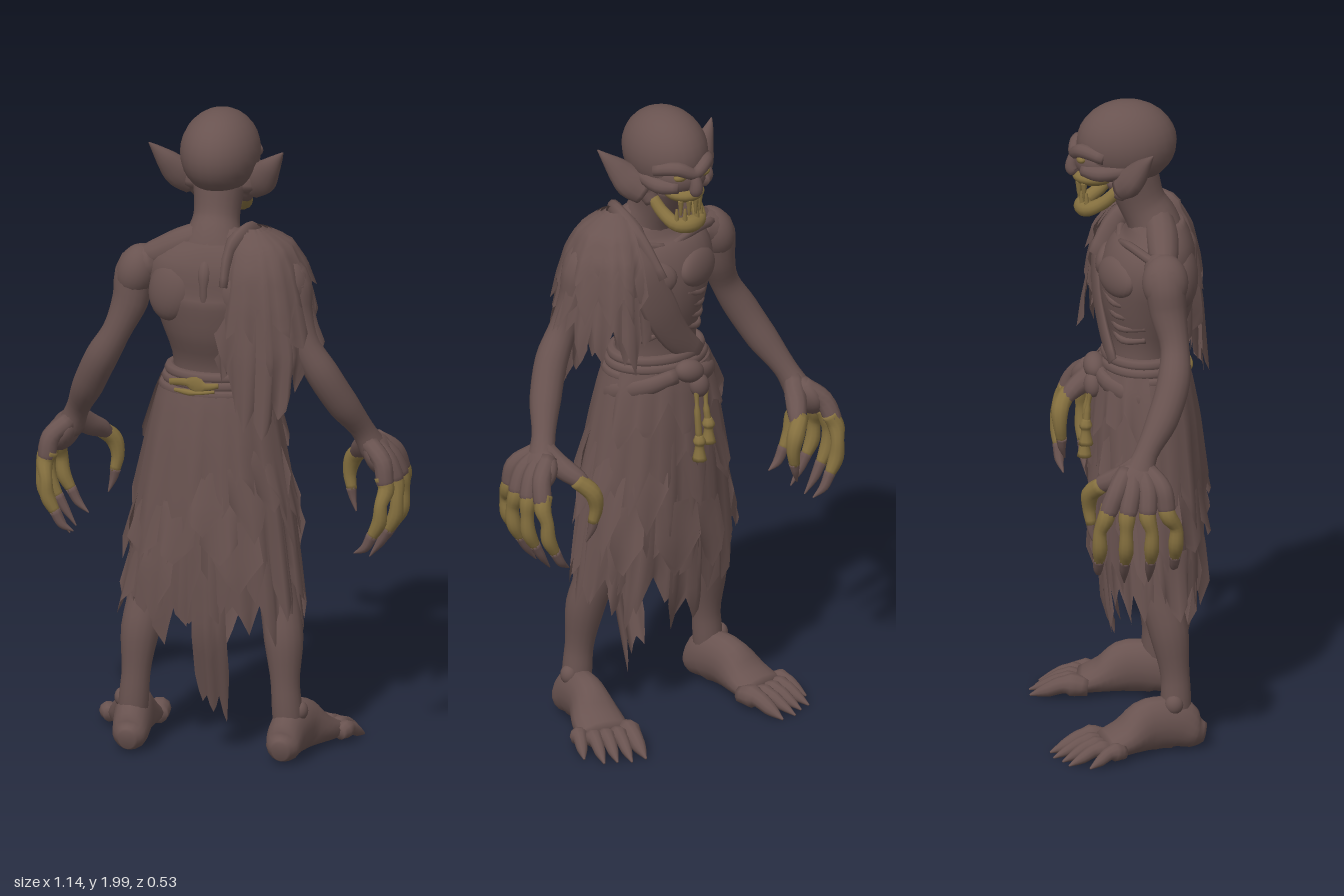
import * as THREE from 'three';

const V = (x, y, z) => new THREE.Vector3(x, y, z);
const Y = V(0, 1, 0), Z = V(0, 0, 1);

export function createModel() {
  const model = new THREE.Group();
  model.name = 'raggedGhoul';
  const hide = new THREE.MeshStandardMaterial({ color: 0x695350, side: THREE.DoubleSide });
  hide.name = 'dull brown';
  const gold = new THREE.MeshStandardMaterial({ color: 0x85703f });
  gold.name = 'dull ochre';

  let seed = 11;
  const rand = () => (seed = (seed * 16807) % 2147483647) / 2147483647;

  function add(name, geo, mat) {
    const m = new THREE.Mesh(geo, mat);
    m.name = name;
    model.add(m);
    return m;
  }
  function build(name, pos, idx, mat) {
    const g = new THREE.BufferGeometry();
    g.setAttribute('position', new THREE.Float32BufferAttribute(pos, 3));
    g.setIndex(idx);
    g.computeVertexNormals();
    return add(name, g, mat);
  }

  // Smooth limb through points [x, y, z, sideRadius, otherRadius]; s = -1 mirrors it
  function limb(name, mat, pts, s = 1, up = Z, sides = 12, sub = 4) {
    const path = new THREE.CatmullRomCurve3(pts.map(p => V(p[0] * s, p[1], p[2])));
    const size = new THREE.CatmullRomCurve3(pts.map(p => V(p[3], p[4] ?? p[3], 0)));
    const n = (pts.length - 1) * sub, pos = [], idx = [];
    for (let i = 0; i <= n; i++) {
      const c = path.getPoint(i / n), r = size.getPoint(i / n), t = path.getTangent(i / n);
      const side = up.clone().cross(t).normalize(), nrm = t.clone().cross(side);
      for (let j = 0; j < sides; j++) {
        const a = j / sides * Math.PI * 2;
        const p = c.clone().addScaledVector(side, Math.cos(a) * r.x).addScaledVector(nrm, Math.sin(a) * r.y);
        pos.push(p.x, p.y, p.z);
        if (i < n) {
          const k = (j + 1) % sides, A = i * sides, B = A + sides;
          idx.push(A + j, A + k, B + j, A + k, B + k, B + j);
        }
      }
    }
    const e = (n + 1) * sides, L = n * sides;
    for (const q of [path.getPoint(0), path.getPoint(1)]) pos.push(q.x, q.y, q.z);
    for (let j = 0; j < sides; j++) {
      const k = (j + 1) % sides;
      idx.push(e, k, j, e + 1, L + j, L + k);
    }
    return build(name, pos, idx, mat);
  }

  function ball(name, mat, p, r, rot = [0, 0, 0]) {
    const m = add(name, new THREE.SphereGeometry(1, 24, 16), mat);
    m.position.set(...p);
    m.scale.set(...r);
    m.rotation.set(...rot);
    return m;
  }

  // Torn cloth wrapped round a profile of [y, cx, cz, rx, rz]; angle 0 is +z, PI/2 is +x
  function rag(name, prof, a0, a1, top, hem, depth, teeth, off, flare = 0) {
    const at = y => {
      let i = 0;
      while (i < prof.length - 2 && y < prof[i + 1][0]) i++;
      const A = prof[i], B = prof[i + 1], t = THREE.MathUtils.clamp((A[0] - y) / (A[0] - B[0]), 0, 1);
      return A.map((v, k) => v + (B[k] - v) * t);
    };
    const cols = teeth * 4, rows = 10, pos = [], idx = [];
    let d = 0, first = 0, lean = 0;
    for (let c = 0; c <= cols; c++) {
      if (c % 4 === 0) { d = depth * (0.35 + 0.65 * rand()); lean = 0.3 * rand(); }
      const a = a0 + (a1 - a0) * c / cols;
      const low = hem(a) - d * [0, 0.4 + lean, 1, 0.7 - lean][c % 4];
      for (let r = 0; r <= rows; r++) {
        const t = r / rows, y = top + (low - top) * t, q = at(y);
        const o = off + flare * t + 0.011 * t * Math.sin(a * 17 + off * 200) + 0.005 * t * Math.sin(a * 39);
        pos.push(q[1] + Math.sin(a) * (q[3] + o), y, q[2] + Math.cos(a) * (q[4] + o));
        if (c < cols && r < rows) {
          const A = first + r, B = A + rows + 1;
          idx.push(A, A + 1, B, A + 1, B + 1, B);
        }
      }
      first += rows + 1;
    }
    return build(name, pos, idx, hide);
  }

  // Torso and neck
  limb('torso', hide, [[0, 1.08, .035, .14, .11], [0, 1.22, .04, .13, .1], [0, 1.35, .05, .165, .135],
    [0, 1.47, .06, .2, .145], [0, 1.55, .08, .19, .115], [0, 1.62, .08, .1, .08]], 1, Z, 28);
  limb('neck', hide, [[0, 1.54, .085, .15, .09], [0, 1.61, .07, .095, .08], [0, 1.68, .035, .07, .072], [0, 1.78, 0, .08, .085]], 1, Z, 18);
  limb('spine', hide, [[0, 1.24, .125, .012], [0, 1.4, .178, .012], [0, 1.5, .19, .013], [0, 1.58, .162, .013], [0, 1.68, .095, .01]]);
  for (const s of [1, -1]) {
    ball('shoulderBlade', hide, [s * .11, 1.47, .14], [.08, .1, .05], [-.1, s * .4, s * .3]);
    ball('chestMuscle', hide, [s * .09, 1.47, -.05], [.09, .06, .034], [.15, -s * .45, 0]);
    limb('trapezius', hide, [[0, 1.645, .08, .04], [.09, 1.6, .085, .05], [.17, 1.56, .08, .045], [.23, 1.54, .075, .03]], s, Y);
    ball('deltoid', hide, [s * .236, 1.5, .078], [.062, .085, .07], [0, 0, s * .3]);
    limb('collarbone', hide, [[.02, 1.555, -.03, .012], [.1, 1.57, -.012, .013], [.21, 1.555, .045, .015]], s, Y, 8);
    for (let i = 0; i < 4; i++) {
      const y = 1.4 - i * .04;
      limb('rib', hide, [[.03, y + .01, -.078 + i * .008, .01], [.1, y - .01, -.056 + i * .008, .012], [.162 - i * .008, y, .03, .01]], s, Y, 8);
    }
  }

  // Skull, face and jaw
  ball('cranium', hide, [0, 1.87, -.01], [.12, .13, .152]);
  ball('face', hide, [0, 1.82, -.075], [.09, .072, .095]);
  limb('brow', hide, [[-.095, 1.85, -.09, .018], [-.05, 1.864, -.15, .022], [0, 1.842, -.168, .018], [.05, 1.864, -.15, .022], [.095, 1.85, -.09, .018]], 1, Y);
  limb('nose', hide, [[0, 1.85, -.16, .014], [0, 1.815, -.175, .018], [0, 1.79, -.174, .021], [0, 1.78, -.16, .012]]);
  ball('upperMuzzle', gold, [0, 1.768, -.108], [.062, .03, .066]);
  ball('chin', gold, [0, 1.668, -.138], [.04, .026, .026]);
  limb('jaw', gold, [[-.07, 1.735, -.05, .018], [-.06, 1.7, -.085, .02], [-.04, 1.672, -.132, .022], [0, 1.668, -.144, .026],
    [.04, 1.672, -.132, .022], [.06, 1.7, -.085, .02], [.07, 1.735, -.05, .018]], 1, Y);
  for (const s of [1, -1]) {
    ball('eye', gold, [s * .042, 1.835, -.152], [.022, .013, .015]);
    limb('cheekbone', hide, [[.095, 1.81, -.02, .022], [.085, 1.8, -.1, .024], [.045, 1.8, -.148, .018]], s, Y);
    limb('jawHinge', hide, [[.085, 1.81, -.01, .032], [.078, 1.76, -.025, .032], [.069, 1.72, -.045, .022]], s);
    limb('ear', hide, [[.09, 1.76, -.035, .044, .036], [.125, 1.79, -.01, .05, .035], [.16, 1.835, .015, .035, .026],
      [.19, 1.872, .032, .015, .013], [.208, 1.895, .045, .002, .002]], s);
    for (const [x, z] of [[.012, -.155], [.034, -.143]]) {
      limb('upperTooth', gold, [[x, 1.755, z, .011], [x, 1.705, z, .004]], s, Z, 6);
      limb('lowerTooth', gold, [[x + .01, 1.675, z + .008, .011], [x + .01, 1.725, z + .006, .004]], s, Z, 6);
    }
  }

  for (const s of [1, -1]) {
    // Arm, palm and clawed fingers
    limb('arm', hide, [[.17, 1.54, .075, .05], [.235, 1.51, .075, .062], [.255, 1.41, .085, .056], [.295, 1.31, .1, .044],
      [.345, 1.22, .09, .05], [.395, 1.12, .05, .048], [.44, 1.03, -.005, .036], [.47, .96, -.035, .042, .055]], s, Z, 16);
    ball('palm', hide, [s * .485, .945, -.04], [.042, .07, .08], [0, 0, s * .45]);
    for (let i = 0; i < 4; i++) {
      const z = -.115 + i * .052, w = -.155 + i * .077, d = [.02, 0, 0, .03][i];
      limb('knuckle', hide, [[.465, .985, z * .4 - .02, .028], [.515, .94, z * .9, .029], [.54 - d / 2, .885, z * 1.12, .028], [.545 - d / 2, .865, z * 1.15, .02]], s, Z, 10);
      limb('finger', gold, [[.53 - d / 2, .9, z * 1.1, .025], [.545 - d / 2, .865, z * 1.2, .026], [.55 - d, .82, w, .02], [.545 - d, .765, w, .023], [.52 - d, .715, w, .016]], s, Z, 10);
      limb('claw', hide, [[.523 - d, .722, w, .018], [.5 - d, .68, w, .014], [.465 - d, .63 + d, w * .95, .002]], s, Z, 8);
    }
    limb('thumbBase', hide, [[.455, 1, -.03, .032], [.43, .955, -.08, .034], [.4, .925, -.13, .028], [.385, .905, -.15, .02]], s, Z, 10);
    limb('thumb', gold, [[.41, .925, -.135, .025], [.372, .885, -.165, .027], [.36, .835, -.168, .021], [.368, .785, -.162, .016]], s, Z, 10);
    limb('thumbClaw', hide, [[.366, .79, -.162, .017], [.372, .76, -.16, .012], [.385, .72, -.15, .002]], s, Z, 8);

    // Leg, foot and toes
    limb('leg', hide, [[.09, 1, .05, .09], [.15, .72, .05, .085], [.2, .5, .06, .062], [.222, .38, .09, .06],
      [.232, .24, .108, .044], [.238, .16, .11, .046], [.242, .08, .11, .042]], s, Z, 16);
    limb('foot', hide, [[.238, .055, .197, .025, .03], [.238, .062, .165, .052, .052], [.242, .09, .11, .058, .08], [.256, .095, .03, .06, .082],
      [.275, .064, -.05, .08, .052], [.288, .045, -.115, .085, .034]], s, Y, 16);
    ball('ankleBone', hide, [s * .275, .16, .1], [.025, .03, .028]);
    const toes = [[.215, -.1, .25, -.272], [.255, -.11, .298, -.268], [.293, -.105, .335, -.245], [.328, -.09, .373, -.23], [.355, -.06, .405, -.17]];
    toes.forEach(([x0, z0, x1, z1], i) => {
      const r = i ? .021 : .027, mix = t => [x0 + (x1 - x0) * t, z0 + (z1 - z0) * t];
      const [ax, az] = mix(.4), [bx, bz] = mix(.7);
      limb('toe', hide, [[x0, .045, z0, r], [ax, .052, az, r], [bx, .033, bz, r * .8], [x1, .015, z1, .003]], s, Y, 10);
    });
  }

  // Torn skirt in layers
  const skirt = [[1.22, 0, .035, .135, .11], [1.12, 0, .04, .165, .13], [1, 0, .045, .19, .142], [.8, 0, .05, .225, .152],
    [.6, 0, .055, .25, .15], [.4, 0, .06, .272, .135], [.1, 0, .06, .27, .05]];
  const TAU = Math.PI * 2;
  rag('skirtLining', skirt, 0, TAU, 1.2, () => .5, .16, 18, 0);
  rag('skirtLayer', skirt, 0, TAU, 1.18, a => .62 + .04 * Math.sin(a * 3), .18, 15, .01);
  rag('skirtLayer', skirt, 0, TAU, 1.16, a => .86 + .06 * Math.sin(a * 2 + 1), .2, 12, .017, .003);
  rag('skirtFold', skirt, 1.9, 4.7, 1.17, a => 1.04 + .04 * Math.sin(a * 5), .09, 6, .022, .008);
  for (let i = 0; i < 22; i++) {
    const a = i * 2.4, top = .62 + .4 * rand(), low = top - .12;
    rag('skirtTatter', skirt, a, a + .4 + .2 * rand(), top, () => low, .16, 1, .012, .018);
  }
  rag('backTail', skirt, -.14, .26, .7, a => .31 - .12 * Math.cos((a - .06) * 6), .12, 3, .003);
  rag('sideTail', skirt, 2.2, 2.6, .7, () => .46, .2, 2, .006);
  rag('frontTail', skirt, 3, 3.5, .7, () => .4, .16, 2, .004);

  // Belt, hip wraps, knot and tassels
  [[1.2, .14, .112], [1.175, .148, .118], [1.15, .156, .126]].forEach(([y, rx, rz]) => {
    const b = add('belt', new THREE.TorusGeometry(1, .13, 8, 48), hide);
    b.rotation.x = Math.PI / 2;
    b.position.set(0, y, .038);
    b.scale.set(rx, rz, .14);
  });
  for (const s of [1, -1])
    limb('hipWrap', hide, [[.02, 1.155, -.1, .02, .025], [.1, 1.135, -.078, .02, .028], [.168, 1.1, .01, .018, .03], [.165, 1.06, .1, .012, .02]], s, Y);
  limb('beltCord', gold, [[-.12, 1.175, .13, .006, .01], [-.06, 1.187, .163, .006, .012], [.0, 1.18, .175, .006, .012], [.04, 1.185, .17, .006, .008]], 1, Y, 8);
  limb('beltCord', gold, [[-.1, 1.157, .15, .006], [-.03, 1.16, .181, .006], [.03, 1.168, .18, .005]], 1, Y, 8);
  ball('beltKnot', hide, [-.02, 1.165, -.11], [.05, .036, .034], [0, 0, .3]);
  ball('beltKnot', hide, [-.05, 1.115, -.118], [.032, .04, .028], [0, 0, -.3]);
  for (const [x, low] of [[-.068, .93], [-.035, .88]]) {
    limb('tasselCord', gold, [[x, 1.11, -.125, .01], [x + .004, 1.04, -.136, .01], [x, low + .07, -.14, .011]], 1, Z, 8);
    limb('tassel', gold, [[x, low + .08, -.14, .012], [x, low + .06, -.142, .02], [x, low + .045, -.142, .014], [x, low, -.142, .023]], 1, Z, 8);
  }

  // Ragged mantle over one shoulder
  const mantle = [[1.665, .12, .075, .03, .03], [1.62, .14, .065, .085, .09], [1.55, .15, .06, .11, .13], [1.45, .155, .06, .13, .148],
    [1.3, .155, .06, .16, .16], [1, .15, .06, .12, .165]];
  const hang = a => 1.36 - .14 * Math.max(0, Math.cos(a));
  rag('mantle', mantle, -1, 3.5, 1.665, a => hang(a) - .01, .16, 10, 0);
  rag('mantleLayer', mantle, -.8, 3.3, 1.66, a => hang(a) + .09, .13, 8, .009, .006);
  rag('mantleLayer', mantle, -.7, 3.2, 1.655, a => hang(a) + .18, .1, 7, .014, .006);
  for (const [a, low] of [[-.25, 1.14], [.1, 1.1], [.4, 1.18], [2.75, 1.32], [1.2, 1.36]])
    rag('mantleTatter', mantle, a, a + .36, 1.45, () => low, .12, 1, .012, .014);
  limb('mantleCollar', hide, [[.06, 1.5, .185, .025, .014], [.07, 1.6, .14, .035, .02], [.11, 1.645, .08, .035, .02],
    [.1, 1.59, -.02, .035, .02], [.07, 1.48, -.09, .035, .014]], 1, V(1, 0, 0));
  limb('sash', hide, [[.13, 1.62, .02, .04, .02], [.13, 1.53, -.07, .05, .016], [.08, 1.4, -.092, .06, .014],
    [.01, 1.28, -.08, .05, .014], [-.08, 1.19, -.06, .035, .014]], 1, Z);
  limb('mantleRoll', hide, [[.08, 1.63, .11, .022], [.17, 1.59, .13, .026], [.235, 1.52, .12, .022], [.28, 1.44, .1, .008]], 1, Y, 10);

  return model;
}
